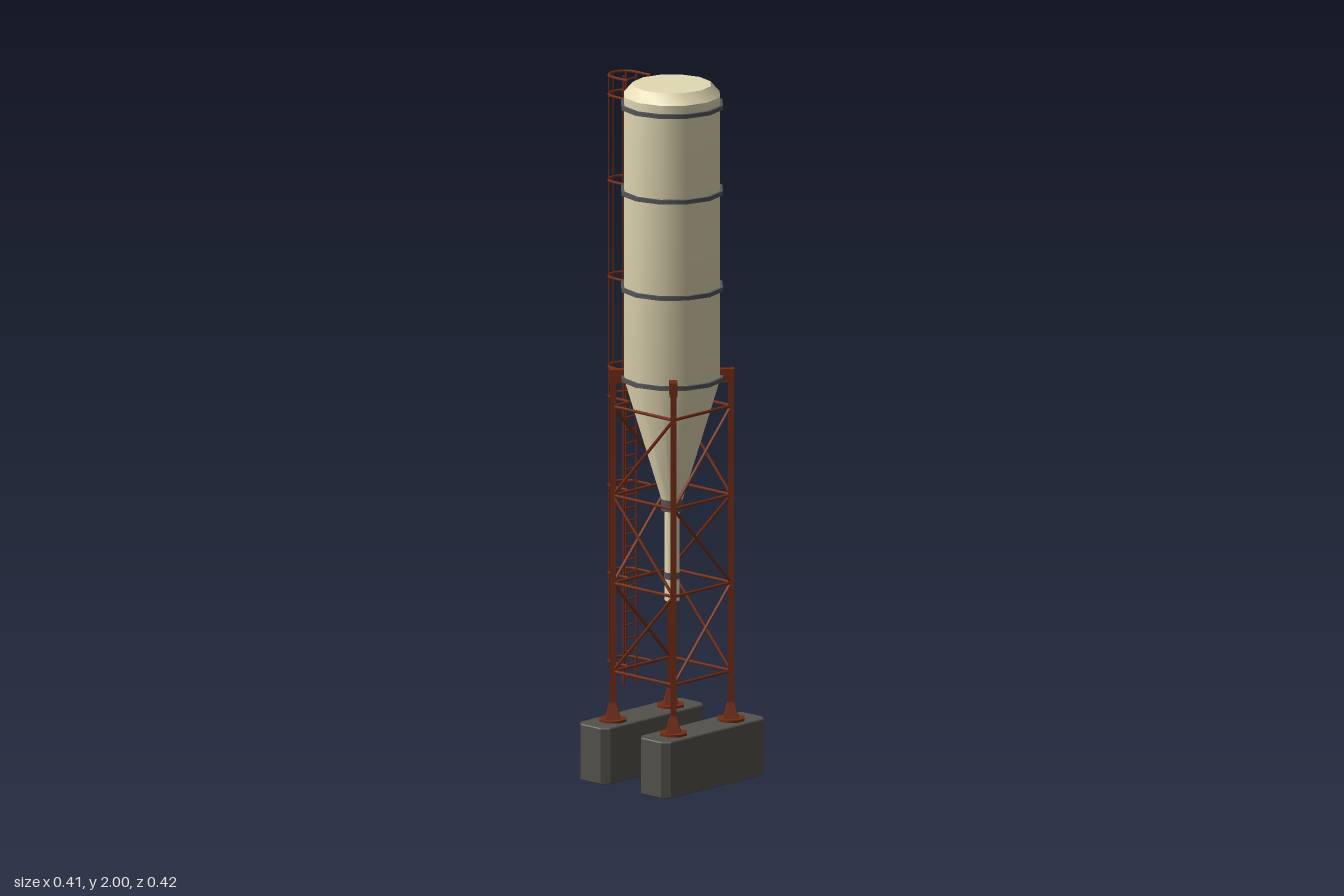
import * as THREE from 'three';
import { toCreasedNormals } from 'three/addons/utils/BufferGeometryUtils.js';

const mat = (color) => new THREE.MeshStandardMaterial({ color });
const cream = mat(0xe3d9b4), rust = mat(0x742c15), steel = mat(0x55555a), concrete = mat(0x53514b);
const AXIS = 0.028, HALF = 0.117;

export function createModel() {
  const root = new THREE.Group();
  const silo = new THREE.Group(), frame = new THREE.Group(), ladder = new THREE.Group();
  silo.name = 'silo';
  frame.name = 'supportFrame';
  ladder.name = 'cagedLadder';
  silo.position.x = frame.position.x = AXIS;
  root.add(silo, frame, ladder);

  const add = (parent, name, geometry, material, x = 0, y = 0, z = 0) => {
    const mesh = new THREE.Mesh(geometry, material);
    mesh.name = name;
    mesh.position.set(x, y, z);
    parent.add(mesh);
    return mesh;
  };
  // Straight bar between two points
  const bar = (parent, name, a, b, r, sides = 6) => {
    const from = new THREE.Vector3(...a), to = new THREE.Vector3(...b);
    const dir = to.clone().sub(from);
    const mesh = add(parent, name, new THREE.CylinderGeometry(r, r, dir.length(), sides), rust);
    mesh.position.copy(from).add(to).multiplyScalar(0.5);
    mesh.quaternion.setFromUnitVectors(new THREE.Vector3(0, 1, 0), dir.normalize());
    return mesh;
  };
  // Turned part from [radius, height] pairs
  const turned = (name, points, material, sides = 12) => {
    const lathe = new THREE.LatheGeometry(points.map((p) => new THREE.Vector2(...p)), sides);
    return add(silo, name, toCreasedNormals(lathe, 0.6), material);
  };

  // Tank: hopper cone, barrel and chamfered roof
  turned('tank', [[0, 0.8], [0.03, 0.8], [0.139, 1.155], [0.139, 1.97], [0.112, 2], [0, 2]], cream);
  for (const y of [1.155, 1.415, 1.693, 1.94]) {
    turned('tankBand', [[0.135, y - 0.006], [0.147, y - 0.006], [0.147, y + 0.006], [0.135, y + 0.006]], steel);
  }

  // Outlet below the hopper
  turned('outletCollar', [[0, 0.77], [0.031, 0.77], [0.031, 0.815], [0, 0.815]], steel);
  turned('outletPipe', [[0, 0.51], [0.021, 0.51], [0.021, 0.775], [0, 0.775]], cream);
  turned('outletRing', [[0.018, 0.573], [0.0235, 0.573], [0.0235, 0.592], [0.018, 0.592]], steel);

  // Concrete footings with cut corners
  const w = 0.055, d = 0.205, c = 0.018;
  const outline = new THREE.Shape([
    [-w + c, -d], [w - c, -d], [w, -d + c], [w, d - c], [w - c, d], [-w + c, d], [-w, d - c], [-w, -d + c],
  ].map((p) => new THREE.Vector2(...p)));
  const footing = new THREE.ExtrudeGeometry(outline, {
    depth: 0.157, bevelEnabled: true, bevelSize: 0.003, bevelThickness: 0.003, bevelSegments: 1,
  }).rotateX(-Math.PI / 2);
  for (const s of [-1, 1]) add(root, 'footing', footing, concrete, AXIS + s * 0.1175, 0.003, 0);

  // Legs with flared feet and tank brackets, turned to face the tank
  for (const sx of [-1, 1]) {
    for (const sz of [-1, 1]) {
      const leg = new THREE.Group();
      leg.name = 'leg';
      leg.position.set(sx * HALF, 0, sz * HALF);
      leg.rotation.y = Math.atan2(-sx, -sz);
      frame.add(leg);
      add(leg, 'legPost', new THREE.BoxGeometry(0.017, 1, 0.017), rust, 0, 0.67, 0);
      const plate = add(leg, 'footPlate', new THREE.CylinderGeometry(0.041, 0.041, 0.008, 8), rust, 0, 0.166, 0);
      plate.rotation.y = Math.PI / 8;
      const flare = toCreasedNormals(new THREE.CylinderGeometry(0.012, 0.03, 0.048, 4), 0.3);
      add(leg, 'footFlare', flare, rust, 0, 0.193, 0).rotation.y = Math.PI / 4;
      add(leg, 'tankBracket', new THREE.BoxGeometry(0.022, 0.04, 0.04), rust, 0, 1.158, 0.011);
    }
  }

  // Four braced sides: horizontals and one zigzag of diagonals each
  const levels = [0.305, 0.56, 0.813, 1.07];
  for (let k = 0; k < 4; k++) {
    const side = new THREE.Group();
    side.name = 'bracedSide';
    side.rotation.y = (k * Math.PI) / 2;
    frame.add(side);
    levels.forEach((y, i) => {
      bar(side, 'horizontalBrace', [-HALF, y, HALF], [HALF, y, HALF], 0.0045);
      if (i === 0) return;
      const s = i % 2 ? 1 : -1;
      bar(side, 'diagonalBrace', [-s * HALF, levels[i - 1], HALF], [s * HALF, y, HALF], 0.0045);
    });
  }

  // Ladder rails and rungs
  const railX = -0.134, railZ = 0.026;
  for (const s of [-1, 1]) bar(ladder, 'ladderRail', [railX, 0.24, s * railZ], [railX, 2, s * railZ], 0.0035);
  for (let y = 0.262; y < 1.99; y += 0.0375) {
    bar(ladder, 'rung', [railX, y, -railZ], [railX, y, railZ], 0.0025, 5);
  }

  // Safety cage: U-shaped hoops and upright strips
  const cx = -0.154, r = 0.046;
  const hoopPath = new THREE.CurvePath();
  const onHoop = (a) => new THREE.Vector3(cx - r * Math.cos(a), 0, r * Math.sin(a));
  const hoopPoints = [new THREE.Vector3(-0.098, 0, -r)];
  for (let i = -4; i <= 4; i++) hoopPoints.push(onHoop((i * Math.PI) / 8));
  hoopPoints.push(new THREE.Vector3(-0.098, 0, r));
  for (let i = 1; i < hoopPoints.length; i++) {
    hoopPath.add(new THREE.LineCurve3(hoopPoints[i - 1], hoopPoints[i]));
  }
  const hoop = new THREE.TubeGeometry(hoopPath, 40, 0.004, 6);
  for (const y of [...levels, 1.155, 1.415, 1.693, 1.94, 1.995]) add(ladder, 'cageHoop', hoop, rust, 0, y, 0);
  for (const a of [-0.87, 0, 0.87]) {
    const p = onHoop(a);
    bar(ladder, 'cageUpright', [p.x, 0.305, p.z], [p.x, 1.995, p.z], 0.0025, 5);
  }
  return root;
}
